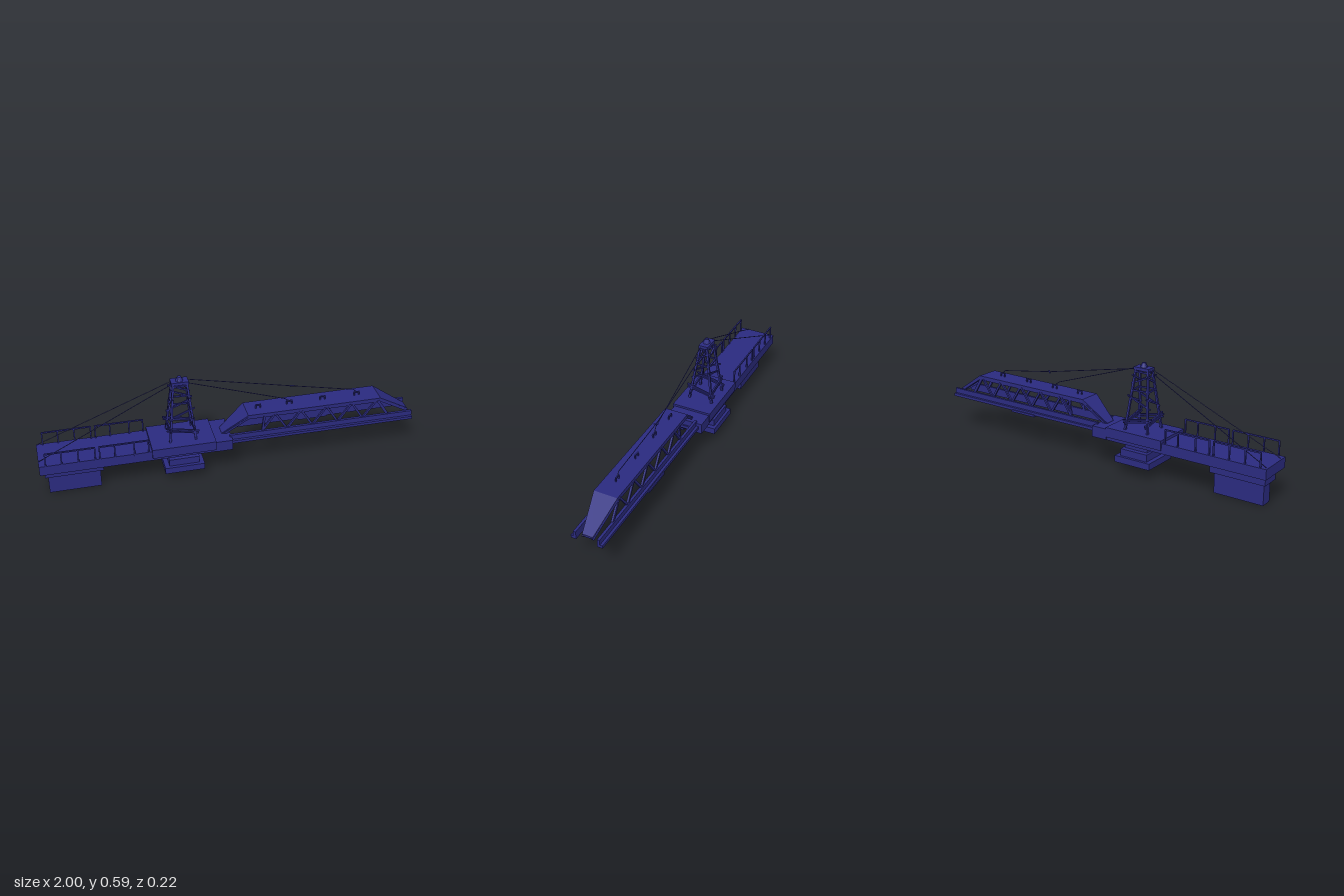
import * as THREE from 'three';

const material = new THREE.MeshStandardMaterial({ color: 0x2b2b80, flatShading: true });

export function createModel() {
  const model = new THREE.Group();

  function part(name, parent = model) {
    const g = new THREE.Group();
    g.name = name;
    parent.add(g);
    return g;
  }
  function add(parent, name, geometry) {
    const m = new THREE.Mesh(geometry, material);
    m.name = name;
    parent.add(m);
    return m;
  }
  // Box given by its limits on each axis
  function block(parent, name, x0, x1, y0, y1, z0, z1) {
    const m = add(parent, name, new THREE.BoxGeometry(x1 - x0, y1 - y0, z1 - z0));
    m.position.set((x0 + x1) / 2, (y0 + y1) / 2, (z0 + z1) / 2);
    return m;
  }
  // Square or round bar between two points
  function bar(parent, name, a, b, size, round = false) {
    const p = new THREE.Vector3(...a), q = new THREE.Vector3(...b);
    const len = p.distanceTo(q);
    const m = add(parent, name, round
      ? new THREE.CylinderGeometry(size / 2, size / 2, len, 6)
      : new THREE.BoxGeometry(size, len, size));
    m.position.copy(p).add(q).multiplyScalar(0.5);
    m.quaternion.setFromUnitVectors(new THREE.Vector3(0, 1, 0), q.sub(p).normalize());
    return m;
  }
  // Plate whose top height and half width change between two x stations
  function taperPlate(parent, name, [xa, ya, wa], [xb, yb, wb], t) {
    const g = new THREE.BoxGeometry(1, 1, 1);
    const p = g.attributes.position;
    for (let i = 0; i < p.count; i++) {
      const end = p.getX(i) > 0, low = p.getY(i) < 0;
      p.setXYZ(i, end ? xb : xa, (end ? yb : ya) - (low ? t : 0),
        Math.sign(p.getZ(i)) * (end ? wb : wa));
    }
    g.computeVertexNormals();
    return add(parent, name, g);
  }

  // Counter deck: top plate over two side girders
  const deck = part('counterDeck');
  block(deck, 'deckPlate', -1, -0.09, 0.195, 0.22, -0.1, 0.1);
  for (const s of [-1, 1]) {
    block(deck, 'sideGirder', -1, -0.09, 0.165, 0.2, s * 0.087 - 0.013, s * 0.087 + 0.013);
  }
  block(deck, 'endGirder', -1, -0.975, 0.165, 0.2, -0.1, 0.1);
  block(deck, 'raisedPlatform', -0.425, -0.09, 0.183, 0.235, -0.107, 0.111);
  block(deck, 'hingeBlock', -0.09, 0, 0.165, 0.224, -0.102, 0.102);
  block(deck, 'hingePlate', -0.01, 0.008, 0.175, 0.192, -0.05, 0.05);
  for (const z of [-0.022, 0.019]) {
    const sheave = add(deck, 'hingeRoller', new THREE.CylinderGeometry(0.02, 0.011, 0.022, 12));
    sheave.position.set(-0.022, 0.155, z);
  }

  // Counterweight
  const weight = part('counterweight');
  block(weight, 'counterweightCap', -0.975, -0.675, 0.112, 0.2, -0.052, 0.055);
  block(weight, 'counterweightBlock', -0.96, -0.69, 0, 0.115, -0.031, 0.034);

  // Stepped slewing base
  const base = part('slewingBase');
  block(base, 'baseNeck', -0.32, -0.185, 0.134, 0.2, -0.068, 0.055);
  block(base, 'baseMiddle', -0.335, -0.175, 0.097, 0.135, -0.095, 0.08);
  block(base, 'baseFoot', -0.36, -0.15, 0.062, 0.097, -0.11, 0.097);

  // Lattice tower: legs lean towards the head
  const tower = part('tower');
  const cx = -0.255, cz = -0.006;
  const halfX = y => 0.068 - (y - 0.23) * 0.1;
  const halfZ = y => 0.066 - (y - 0.23) * 0.145;
  for (const sx of [-1, 1]) for (const sz of [-1, 1]) {
    const at = y => [cx + sx * halfX(y), y, cz + sz * halfZ(y)];
    bar(tower, 'towerLeg', at(0.23), at(0.55), 0.011);
  }
  // Braces: height at each end and overhang past the legs
  const braces = [
    [0.315, 0.278, 0.025], [0.3, 0.268, 0.02], [0.358, 0.415, 0.016],
    [0.446, 0.442, 0], [0.525, 0.475, 0.016], [0.538, 0.538, 0],
  ];
  for (const s of [-1, 1]) for (const [ya, yb, over] of braces) {
    const m = (ya + yb) / 2, hx = halfX(m), hz = halfZ(m);
    bar(tower, 'towerBrace', [cx - hx - over, ya, cz + s * hz],
      [cx + hx + over, yb, cz + s * hz], 0.008);
    const flip = ya > 0.4 && over > 0 ? -1 : 1;
    bar(tower, 'towerBrace', [cx + s * hx, ya, cz + flip * (hz + over)],
      [cx + s * hx, yb, cz - flip * (hz + over)], 0.008);
  }
  block(tower, 'towerHead', -0.3, -0.21, 0.547, 0.563, -0.033, 0.019);
  const cap = add(tower, 'towerCap', new THREE.CylinderGeometry(0.01, 0.02, 0.023, 10));
  cap.position.set(cx, 0.574, cz);

  // Railings on both sides of the counter deck
  const railings = part('railings');
  for (const z of [-0.092, 0.098]) {
    for (const posts of [[-0.965, -0.885, -0.8, -0.715], [-0.692, -0.615, -0.515, -0.442]]) {
      for (const x of posts) bar(railings, 'railPost', [x, 0.21, z], [x, 0.295, z], 0.007);
      bar(railings, 'handRail', [posts[0], 0.293, z], [posts[3], 0.293, z], 0.007);
    }
  }

  // Boom: two bottom chords joined by lacing to a hood with sloping ends
  const boom = part('boom');
  taperPlate(boom, 'hoodTop', [0.09, 0.338, 0.063], [0.815, 0.338, 0.063], 0.01);
  taperPlate(boom, 'hoodRearSlope', [-0.045, 0.225, 0.028], [0.09, 0.338, 0.063], 0.012);
  taperPlate(boom, 'hoodFrontSlope', [0.815, 0.338, 0.063], [0.99, 0.226, 0.028], 0.012);
  for (const s of [-1, 1]) {
    block(boom, 'bottomChord', -0.01, 1, 0.19, 0.206, s * 0.07 - 0.014, s * 0.07 + 0.014);
    block(boom, 'bottomChordWeb', -0.01, 1, 0.2, 0.234, s * 0.063 - 0.007, s * 0.063 + 0.007);
    block(boom, 'hoodFlange', 0.09, 0.815, 0.315, 0.335, s * 0.058 - 0.005, s * 0.058 + 0.005);
    bar(boom, 'rearFlange', [-0.045, 0.212, s * 0.024], [0.095, 0.325, s * 0.057], 0.013);
    bar(boom, 'frontFlange', [0.81, 0.325, s * 0.057], [0.99, 0.212, s * 0.024], 0.013);
    for (let i = 0; i < 5; i++) {
      const x = 0.165 + i * 0.14, z = s * 0.059;
      bar(boom, 'lacing', [x, 0.228, z], [x + 0.065, 0.322, z], 0.011);
      bar(boom, 'lacing', [x + 0.075, 0.322, z], [x + 0.135, 0.228, z], 0.011);
    }
    bar(boom, 'endLacing', [0.168, 0.228, s * 0.059], [0.178, 0.322, s * 0.059], 0.011);
    bar(boom, 'endLacing', [0.865, 0.228, s * 0.059], [0.805, 0.322, s * 0.059], 0.011);
  }
  block(boom, 'chordPlate', 0.4, 0.56, 0.183, 0.195, -0.09, -0.056);

  // Cable eyes on the hood
  for (const x of [0.157, 0.327, 0.51, 0.7]) {
    const eye = part('cableEye', boom);
    for (const d of [-0.013, 0.013]) bar(eye, 'eyePost', [x + d, 0.33, 0.003], [x + d, 0.358, 0.003], 0.006);
    bar(eye, 'eyeBar', [x - 0.016, 0.357, 0.003], [x + 0.016, 0.357, 0.003], 0.006);
  }

  // Stay cables
  const cables = part('stayCables');
  const runs = [
    [[-0.29, 0.556, -0.02], [-0.995, 0.225, -0.09]],
    [[-0.29, 0.556, 0.008], [-0.995, 0.225, 0.057]],
    [[-0.215, 0.552, 0.01], [0.3, 0.378, 0.008], [0.327, 0.357, 0.003]],
    [[-0.215, 0.552, -0.025], [0.34, 0.435, -0.018], [0.68, 0.376, 0.004], [0.7, 0.357, 0.003]],
  ];
  for (const pts of runs) {
    for (let i = 1; i < pts.length; i++) bar(cables, 'cable', pts[i - 1], pts[i], 0.004, true);
  }
  // Small coupling on the long cable
  bar(cables, 'cableCoupling', [0.335, 0.43, -0.024], [0.355, 0.438, -0.012], 0.006);

  return model;
}
